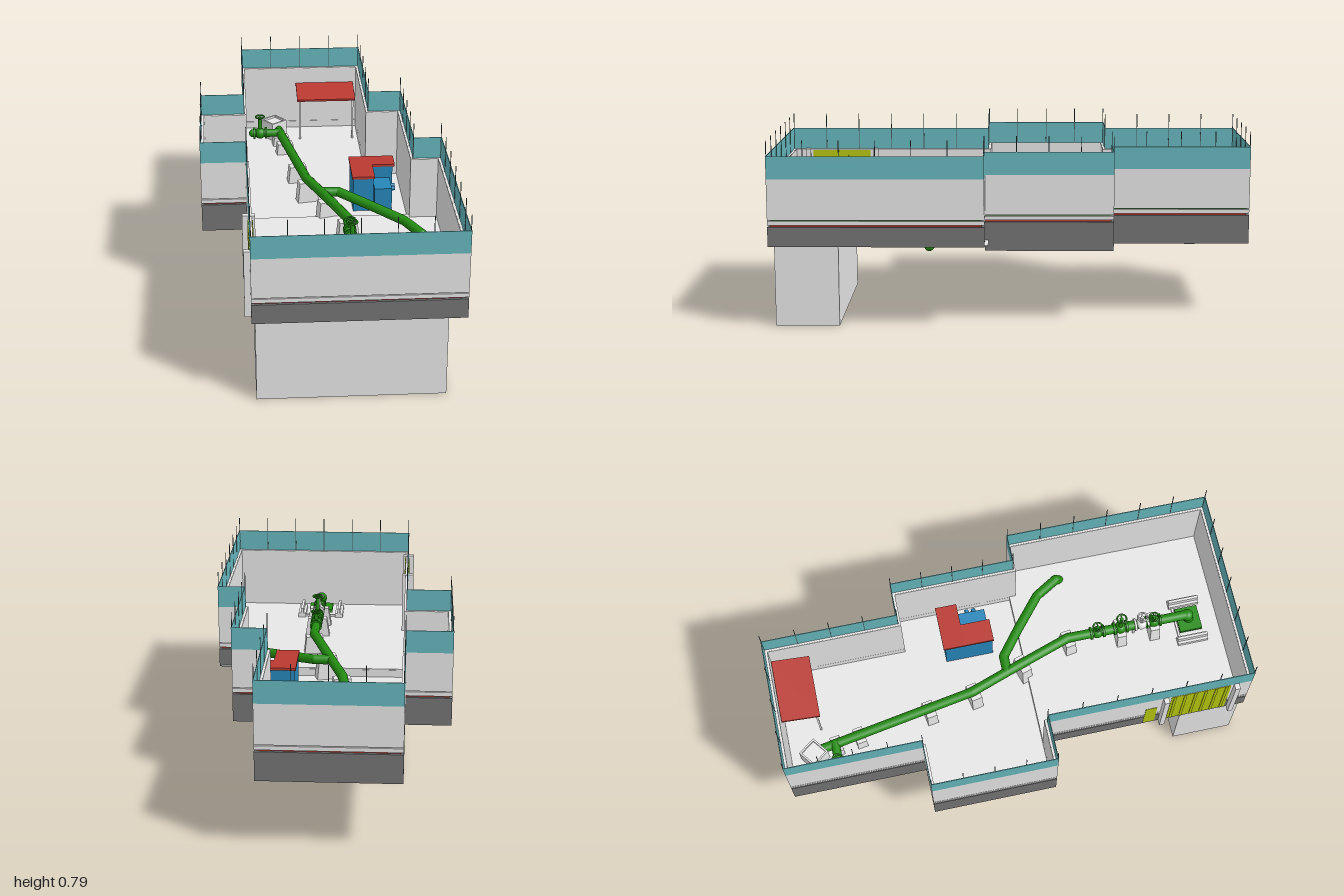
import * as THREE from 'three';

const mat = (name, color) => Object.assign(new THREE.MeshStandardMaterial({ color }), { name });

export function createModel() {
  const model = new THREE.Group();
  model.name = 'pipelineStation';
  const pale = mat('pale concrete', 0xe6e6e6), dark = mat('dark base', 0x747474);
  const teal = mat('teal fence', 0x66b7bd), green = mat('pipe green', 0x238c11);
  const red = mat('roof red', 0xb93931), blue = mat('cabin blue', 0x2686b9);
  const lime = mat('gate lime', 0xb4c410), post = mat('post grey', 0x4a5c5e);

  const add = (name, geo, m, x = 0, y = 0, z = 0, parent = model) => {
    const mesh = new THREE.Mesh(geo, m);
    mesh.name = name;
    mesh.position.set(x, y, z);
    parent.add(mesh);
    return mesh;
  };
  // box given by its limits
  const block = (name, m, x0, x1, y0, y1, z0, z1) =>
    add(name, new THREE.BoxGeometry(x1 - x0, y1 - y0, z1 - z0), m, (x0 + x1) / 2, (y0 + y1) / 2, (z0 + z1) / 2);

  // plan outlines (x, z), moved inwards by d
  const backPlan = d => [[-0.515 + d, 0.115 - d], [-0.515 + d, -0.42 + d], [-0.322 + d, -0.42 + d], [-0.322 + d, -1 + d],
    [0.25 - d, -1 + d], [0.25 - d, -0.42 + d], [0.396 - d, -0.42 + d]];
  const wholePlan = d => [[0.514 - d, 0.115 + d], [0.514 - d, 1 - d], [-0.322 + d, 1 - d], [-0.322 + d, 0.115 - d],
    ...backPlan(d), [0.396 - d, 0.115 + d]];
  const rearPlan = d => [...backPlan(d), [0.396 - d, 0.115 - d]];
  const toPoints = p => p.map(([x, z]) => new THREE.Vector2(x, -z));
  const raise = (shape, y0, y1) =>
    new THREE.ExtrudeGeometry(shape, { depth: y1 - y0, bevelEnabled: false }).rotateX(-Math.PI / 2).translate(0, y0, 0);
  const ring = (name, plan, m, y0, y1, d0, d1) => {
    const shape = new THREE.Shape(toPoints(plan(d0)));
    shape.holes.push(new THREE.Path(toPoints(plan(d1)).reverse()));
    return add(name, raise(shape, y0, y1), m);
  };

  // walls in horizontal bands, with the coloured stripes set back in narrow grooves
  ring('innerWall', wholePlan, pale, 0.351, 0.629, 0.012, 0.014);
  ring('innerWallLow', rearPlan, pale, 0.315, 0.35, 0.012, 0.014);
  ring('baseBand', wholePlan, dark, 0.35, 0.432, 0, 0.012);
  ring('baseBandLow', rearPlan, dark, 0.31, 0.35, 0, 0.012);
  ring('redStripe', wholePlan, red, 0.431, 0.441, 0.011, 0.012);
  ring('paleBandLow', wholePlan, pale, 0.44, 0.457, 0, 0.012);
  ring('greenStripe', wholePlan, green, 0.456, 0.462, 0.011, 0.012);
  ring('paleBand', wholePlan, pale, 0.461, 0.63, 0, 0.012);
  ring('fence', wholePlan, teal, 0.63, 0.725, 0, 0.003);

  // floors and pedestal
  block('frontFloor', pale, -0.311, 0.503, 0.351, 0.356, 0.1, 0.989);
  add('rearFloor', raise(new THREE.Shape(toPoints(rearPlan(0.011))), 0.311, 0.317), pale);
  block('pedestal', pale, -0.308, 0.442, 0, 0.35, 0.72, 0.985);

  // fence posts, evenly spaced along each wall
  const corners = wholePlan(0.003);
  corners.forEach(([x, z], i) => {
    const [nx, nz] = corners[(i + 1) % corners.length];
    const n = Math.max(1, Math.round(Math.hypot(nx - x, nz - z) / 0.143));
    for (let k = 0; k < n; k++)
      add('fencePost', new THREE.BoxGeometry(0.003, 0.16, 0.003), post, x + (nx - x) * k / n, 0.71, z + (nz - z) * k / n);
  });

  // gate with ribs, its posts and the small door
  block('gate', lime, -0.3235, -0.3065, 0.36, 0.626, 0.65, 0.91);
  for (let i = 0; i < 6; i++) block('gateRib', lime, -0.326, -0.304, 0.36, 0.626, 0.66 + i * 0.045, 0.672 + i * 0.045);
  for (const z of [0.625, 0.932]) block('gatePost', pale, -0.347, -0.295, 0.35, 0.632, z - 0.011, z + 0.011);
  block('sideDoor', lime, -0.3235, -0.3065, 0.36, 0.53, 0.545, 0.595);

  // pipes: straight runs with round elbows
  const pipe = (name, pts, r) => pts.forEach((p, i) => {
    const a = new THREE.Vector3(...p);
    add(name + 'Elbow', new THREE.SphereGeometry(r, 16, 10), green, ...p);
    if (i === pts.length - 1) return;
    const b = new THREE.Vector3(...pts[i + 1]), dir = b.clone().sub(a);
    const run = add(name, new THREE.CylinderGeometry(r, r, dir.length(), 16), green, ...a.clone().add(b).multiplyScalar(0.5));
    run.quaternion.setFromUnitVectors(new THREE.Vector3(0, 1, 0), dir.normalize());
  });
  pipe('mainPipe', [[0.1, 0.39, 0.855], [0.1, 0.44, 0.835], [0.1, 0.445, 0.3], [0.01, 0.43, 0.02], [-0.05, 0.42, -0.16], [-0.15, 0.365, -0.84]], 0.021);
  pipe('branchPipe', [[0.01, 0.43, 0.01], [0.08, 0.43, 0.01], [0.2, 0.41, 0.1], [0.35, 0.385, 0.22], [0.415, 0.37, 0.32], [0.422, 0.335, 0.345]], 0.021);
  pipe('sidePipe', [[-0.14, 0.375, -0.785], [-0.275, 0.375, -0.785]], 0.019);
  add('endCap', new THREE.SphereGeometry(0.027, 16, 10), green, 0.1, 0.435, 0.845);

  // valves: body, two flanges, stem and handwheel; the axis runs along z
  const valve = (x, y, z, m, lift, turn = 0) => {
    const g = new THREE.Group();
    g.name = 'valve';
    g.position.set(x, y, z);
    g.rotation.y = turn;
    add('valveBody', new THREE.SphereGeometry(0.027, 16, 10), m, 0, 0, 0, g);
    for (const s of [-1, 1])
      add('valveFlange', new THREE.CylinderGeometry(0.028, 0.028, 0.01, 16).rotateX(Math.PI / 2), m, 0, 0, s * 0.028, g);
    add('valveStem', new THREE.CylinderGeometry(0.008, 0.011, lift, 10), m, 0, lift / 2, 0, g);
    add('valveWheel', new THREE.TorusGeometry(0.021, 0.004, 6, 16).rotateX(Math.PI / 2), m, 0, lift, 0, g);
    add('wheelSpoke', new THREE.BoxGeometry(0.042, 0.004, 0.005), m, 0, lift, 0, g);
    model.add(g);
  };
  valve(0.1, 0.445, 0.435, green, 0.06);
  valve(0.1, 0.445, 0.54, green, 0.1);
  valve(0.1, 0.445, 0.635, pale, 0.07);
  valve(0.1, 0.445, 0.69, green, 0.045);
  valve(-0.24, 0.375, -0.785, green, 0.085, Math.PI / 2);
  add('drainPipe', new THREE.CylinderGeometry(0.006, 0.006, 0.15, 10), pale, 0.1, 0.365, 0.605);

  // tapered pipe supports reaching below the floor
  const support = (x, z, y0, y1, w, d, turn) => {
    const geo = new THREE.BoxGeometry(w, y1 - y0, d), p = geo.attributes.position;
    for (let i = 0; i < p.count; i++) if (p.getY(i) > 0) p.setXYZ(i, p.getX(i) * 0.72, p.getY(i), p.getZ(i) * 0.9);
    geo.computeVertexNormals();
    add('pipeSupport', geo, pale, x, (y0 + y1) / 2, z).rotation.y = turn;
  };
  support(0.1, 0.69, 0.335, 0.44, 0.12, 0.045, 0);
  support(0.1, 0.54, 0.33, 0.44, 0.12, 0.045, 0);
  support(0.1, 0.305, 0.295, 0.435, 0.105, 0.05, 0.15);
  support(0.03, 0.085, 0.265, 0.425, 0.11, 0.05, 0.3);
  support(-0.047, -0.15, 0.26, 0.41, 0.105, 0.052, 0.2);
  support(-0.08, -0.355, 0.25, 0.395, 0.105, 0.05, 0.15);
  support(-0.125, -0.675, 0.24, 0.37, 0.1, 0.048, 0.15);
  support(-0.14, -0.78, 0.235, 0.36, 0.1, 0.048, 0.15);

  // front pit frame
  for (const x of [0.012, 0.19]) {
    block('pitSide', pale, x - 0.018, x + 0.018, 0.352, 0.375, 0.785, 0.92);
    block('pitRail', pale, x - 0.006, x + 0.006, 0.375, 0.4, 0.785, 0.92);
  }
  block('pitBar', pale, 0.01, 0.19, 0.355, 0.366, 0.795, 0.805);
  block('pitPlate', green, 0.045, 0.155, 0.375, 0.39, 0.805, 0.905);

  // open box at the rear pipe end
  const box = new THREE.Group();
  box.name = 'rearBox';
  box.position.set(-0.17, 0.358, -0.882);
  box.rotation.y = 0.65;
  for (const s of [-1, 1]) {
    add('boxSide', new THREE.BoxGeometry(0.008, 0.09, 0.088), pale, s * 0.04, 0, 0, box);
    add('boxEnd', new THREE.BoxGeometry(0.088, 0.09, 0.008), pale, 0, 0, s * 0.04, box);
  }
  add('boxCore', new THREE.BoxGeometry(0.08, 0.07, 0.08), pale, 0, 0, 0, box);
  model.add(box);

  // cabin with L-shaped roof and a low cabinet in its corner
  block('cabinBack', blue, 0.15, 0.335, 0.317, 0.472, -0.235, -0.152);
  block('cabinWing', blue, 0.15, 0.24, 0.317, 0.472, -0.152, -0.025);
  block('roofBack', red, 0.145, 0.345, 0.472, 0.483, -0.243, -0.148);
  block('roofWing', red, 0.145, 0.245, 0.472, 0.483, -0.148, -0.02);
  block('cabinet', blue, 0.245, 0.322, 0.317, 0.42, -0.145, -0.028);
  for (const z of [-0.105, -0.075])
    add('cabinetKnob', new THREE.CylinderGeometry(0.01, 0.01, 0.02, 10).rotateZ(Math.PI / 2), blue, 0.33, 0.4, z);

  // sloping canopy against the back wall
  const canopy = block('canopy', red, -0.058, 0.222, 0.53, 0.54, -0.985, -0.82);
  canopy.rotation.x = 0.15;
  for (const x of [-0.045, 0.21]) block('canopyPost', pale, x - 0.004, x + 0.004, 0.317, 0.525, -0.84, -0.832);

  return model;
}
